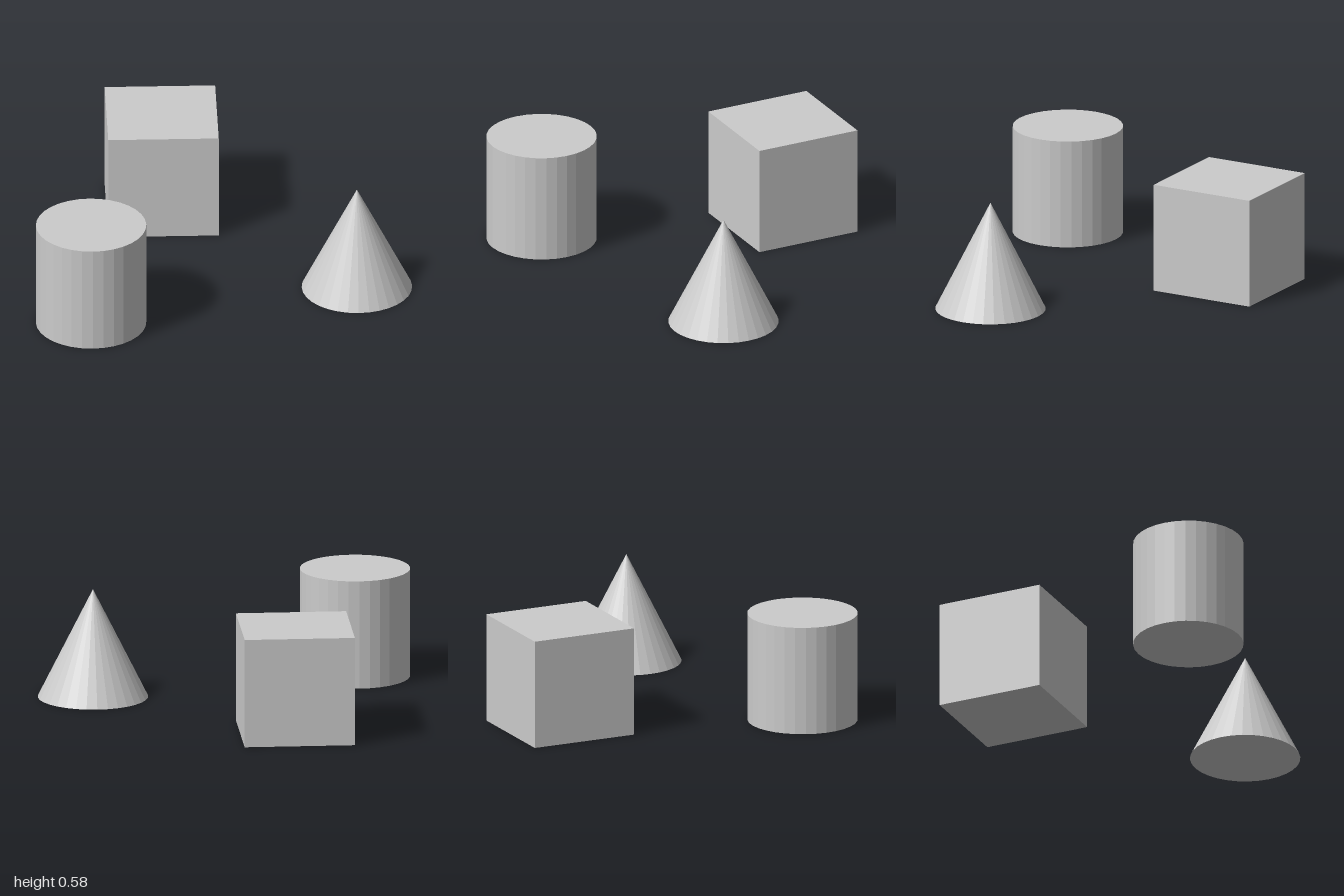
import * as THREE from 'three';

const SIZE = 0.584; // shared width, depth and height
const R = SIZE / 2;
const SIDES = 32;

export function createModel() {
  const group = new THREE.Group();
  const material = new THREE.MeshStandardMaterial({ color: 0xcccccc, flatShading: true });

  // Every solid stands on the ground
  const add = (name, geometry, x, z) => {
    const mesh = new THREE.Mesh(geometry, material);
    mesh.name = name;
    mesh.position.set(x, R, z);
    group.add(mesh);
  };

  add('cube', new THREE.BoxGeometry(SIZE, SIZE, SIZE), -0.295, -0.611);
  add('cylinder', new THREE.CylinderGeometry(R, R, SIZE, SIDES), -0.708, 0.611);
  add('cone', new THREE.ConeGeometry(R, SIZE, SIDES), 0.708, 0.266);

  return group;
}
